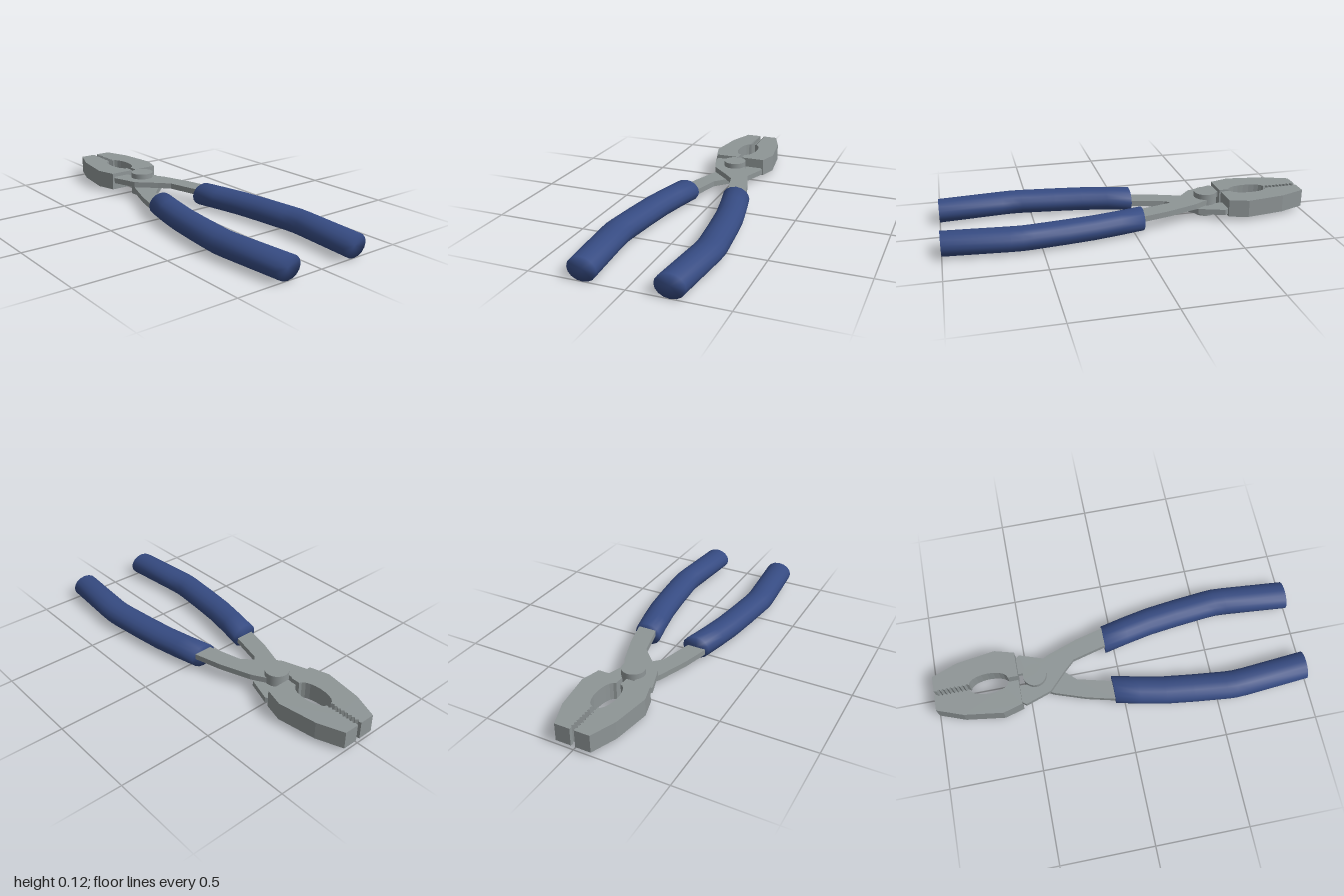
import * as THREE from 'three';

const steel = new THREE.MeshStandardMaterial({ color: 0x8e9596 });
steel.name = 'steel';
const blueGrip = new THREE.MeshStandardMaterial({ color: 0x364b82 });
blueGrip.name = 'blueGrip';

// Flat plate from [x, z] outline points, between two heights; side mirrors it in x
function plate(points, side, bottom, top) {
  const shape = new THREE.Shape(points.map(([x, z]) => new THREE.Vector2(side * x, -z)));
  const geo = new THREE.ExtrudeGeometry(shape, { depth: top - bottom, bevelEnabled: false });
  geo.rotateX(-Math.PI / 2);
  geo.translate(0, bottom, 0);
  return geo;
}

// Jaw outline: outer edge, toothed tip, then the curved pipe recess
function jawOutline() {
  const pts = [[0.012, -0.545], [0.148, -0.545], [0.178, -0.65], [0.148, -0.86], [0.095, -1], [0.012, -1]];
  const teeth = 8, start = -0.985, end = -0.815;
  const step = (end - start) / teeth;
  for (let i = 0; i < teeth; i++) {
    pts.push([0.009, start + i * step], [0.019, start + (i + 0.5) * step]);
  }
  for (let i = 0; i <= 10; i++) {
    const t = (i / 10) * Math.PI;
    pts.push([0.012 + 0.045 * Math.sin(t), -0.705 - 0.105 * Math.cos(t)]);
  }
  return pts;
}

// Lever: from the jaw on one side, across the pivot, to the grip on the other
const leverOutline = [
  [-0.04, -0.55], [-0.13, -0.55], [-0.148, -0.525], [-0.1, -0.385], [0, -0.29], [0.052, -0.235],
  [0.1, -0.05], [0.11, 0], [0.215, 0], [0.203, -0.05], [0.165, -0.2], [0.105, -0.37],
  [0.045, -0.475], [-0.04, -0.5],
];

// Grip: closed elliptical tube along a bent centre line, with smooth capped ends
function gripGeometry(side) {
  const path = [[0.148, -0.05], [0.178, 0.08], [0.206, 0.22], [0.225, 0.37],
    [0.244, 0.55], [0.247, 0.6], [0.244, 0.66], [0.215, 1]];
  const sides = 16, pos = [], index = [];
  for (const [x, z] of path) {
    for (let j = 0; j < sides; j++) {
      const a = (j / sides) * Math.PI * 2;
      pos.push(side * x + 0.077 * Math.cos(a), 0.0625 + 0.0625 * Math.sin(a), z);
    }
  }
  for (let i = 0; i < path.length - 1; i++) {
    for (let j = 0; j < sides; j++) {
      const a = i * sides + j, b = i * sides + (j + 1) % sides;
      index.push(a, b, b + sides, a, b + sides, a + sides);
    }
  }
  const last = (path.length - 1) * sides;
  const c0 = pos.length / 3, c1 = c0 + 1;
  pos.push(side * path[0][0], 0.0625, path[0][1]);
  pos.push(side * path[path.length - 1][0], 0.0625, 1);
  for (let j = 0; j < sides; j++) {
    const k = (j + 1) % sides;
    index.push(c0, k, j, c1, last + j, last + k);
  }
  const geo = new THREE.BufferGeometry();
  geo.setAttribute('position', new THREE.Float32BufferAttribute(pos, 3));
  geo.setIndex(index);
  geo.computeVertexNormals();
  return geo;
}

export function createModel() {
  const group = new THREE.Group();
  group.name = 'pliers';
  const add = (name, geo, mat) => {
    const mesh = new THREE.Mesh(geo, mat);
    mesh.name = name;
    group.add(mesh);
  };

  for (const side of [1, -1]) {
    const label = side > 0 ? 'left' : 'right';
    add(label + 'Jaw', plate(jawOutline(), side, 0.021, 0.117), steel);
    add(label + 'Grip', gripGeometry(side), blueGrip);
    // The left lever lies over the right one
    const bottom = side > 0 ? 0.065 : 0.032;
    add(label + 'Lever', plate(leverOutline, side, bottom, bottom + 0.031), steel);
  }

  // Pivot pin
  const pin = new THREE.CylinderGeometry(0.063, 0.063, 0.125, 32);
  pin.translate(0, 0.0625, -0.455);
  add('pivotPin', pin, steel);

  return group;
}
